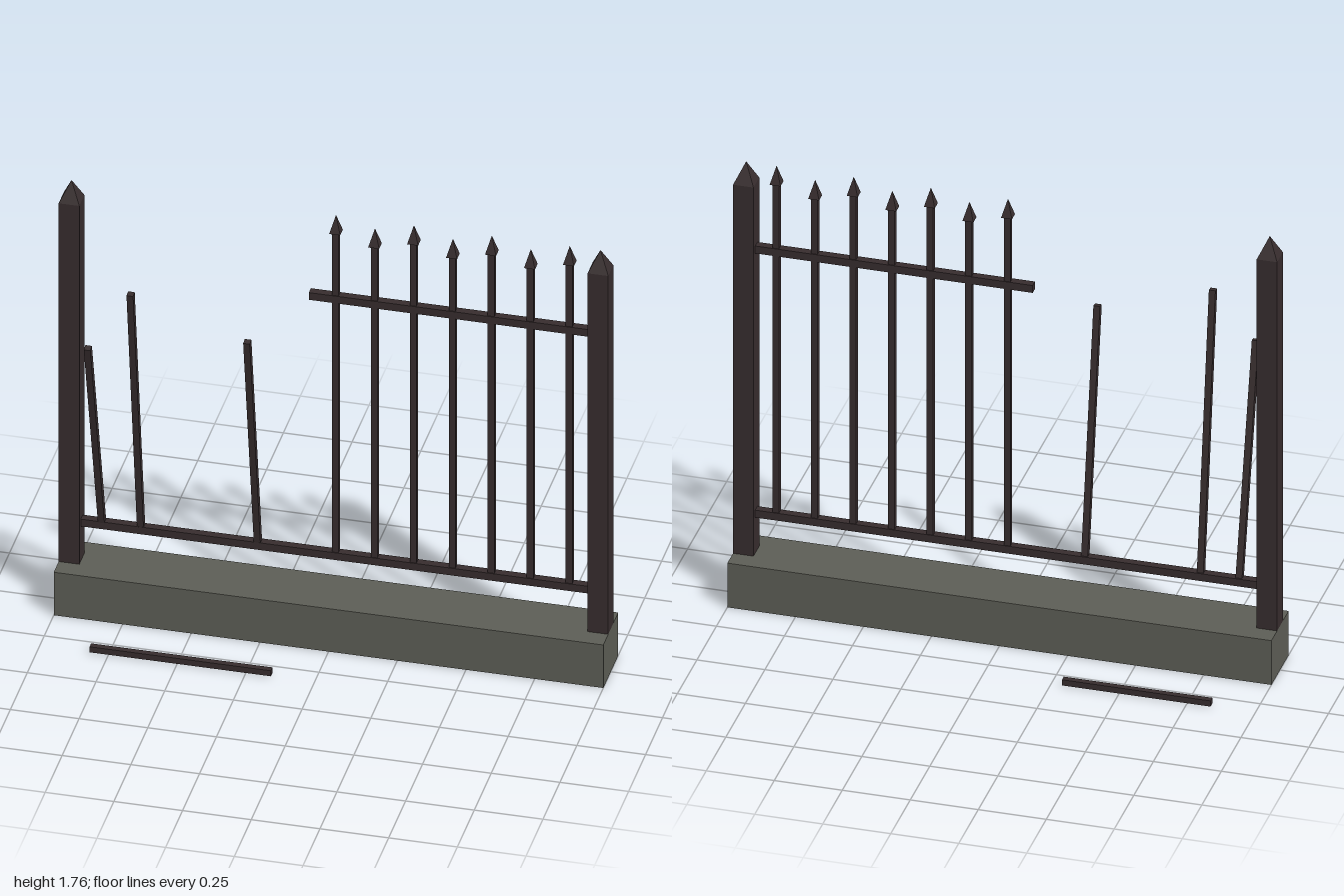
import * as THREE from 'three';

const iron = new THREE.MeshStandardMaterial({ color: 0x372d2e });
iron.name = 'dark iron';
const stone = new THREE.MeshStandardMaterial({ color: 0x5d5e56 });
stone.name = 'grey stone';

export function createModel() {
  const model = new THREE.Group();
  model.name = 'brokenFence';

  const add = (name, geometry, material, x, y, z, parent = model) => {
    const mesh = new THREE.Mesh(geometry, material);
    mesh.name = name;
    mesh.position.set(x, y, z);
    parent.add(mesh);
    return mesh;
  };
  const box = (w, h, d) => new THREE.BoxGeometry(w, h, d);
  // Square pyramid with its sides along x and z
  const pyramid = (width, height) =>
    new THREE.ConeGeometry(width / Math.SQRT2, height, 4).toNonIndexed().rotateY(Math.PI / 4);
  const flat = (geometry) => { geometry.computeVertexNormals(); return geometry; };

  // Plinth
  add('plinth', box(2, 0.18, 0.22), stone, 0, 0.09, 0);

  // Corner posts with pointed caps
  for (const side of [-1, 1]) {
    const post = new THREE.Group();
    post.name = side > 0 ? 'leftPost' : 'rightPost';
    post.position.x = side * 0.9625;
    model.add(post);
    add('postShaft', box(0.075, 1.5, 0.075), iron, 0, 0.93, 0, post);
    add('postCap', flat(pyramid(0.075, 0.08)), iron, 0, 1.72, 0, post);
  }

  // Rails: the upper one is snapped off
  const railY = 0.34;
  add('lowerRail', box(1.85, 0.03, 0.03), iron, 0, railY, 0);
  add('upperRail', box(1.02, 0.03, 0.03), iron, 0.415, 1.415, 0);

  // Standing bars with spear tips, alternating in height
  const spacing = 0.1418;
  for (let i = 0; i < 7; i++) {
    const top = i % 2 ? 1.725 : 1.76;
    const shaftTop = top - 0.07;
    const bar = new THREE.Group();
    bar.name = 'bar';
    bar.position.x = i * spacing;
    model.add(bar);
    add('barShaft', box(0.024, shaftTop - railY, 0.024), iron, 0, (shaftTop + railY) / 2, 0, bar);
    add('spearTip', flat(pyramid(0.04, 0.07)), iron, 0, top - 0.035, 0, bar);
  }

  // Broken bars leaning forward from the lower rail: slot, top y, top z
  for (const [slot, y, z] of [[-6, 1.205, 0.212], [-5, 1.418, 0.156], [-2, 1.285, 0.159]]) {
    const rise = y - railY;
    const bar = add('brokenBar', box(0.024, Math.hypot(rise, z), 0.024), iron,
      slot * spacing, railY + rise / 2, z / 2);
    bar.rotation.x = Math.atan2(z, rise);
  }

  // Fallen bars on the ground
  add('fallenBarFront', box(0.66, 0.023, 0.023), iron, -0.487, 0.016, 0.312);
  add('fallenBarBack', box(0.546, 0.023, 0.023), iron, -0.565, 0.016, -0.314);

  return model;
}
